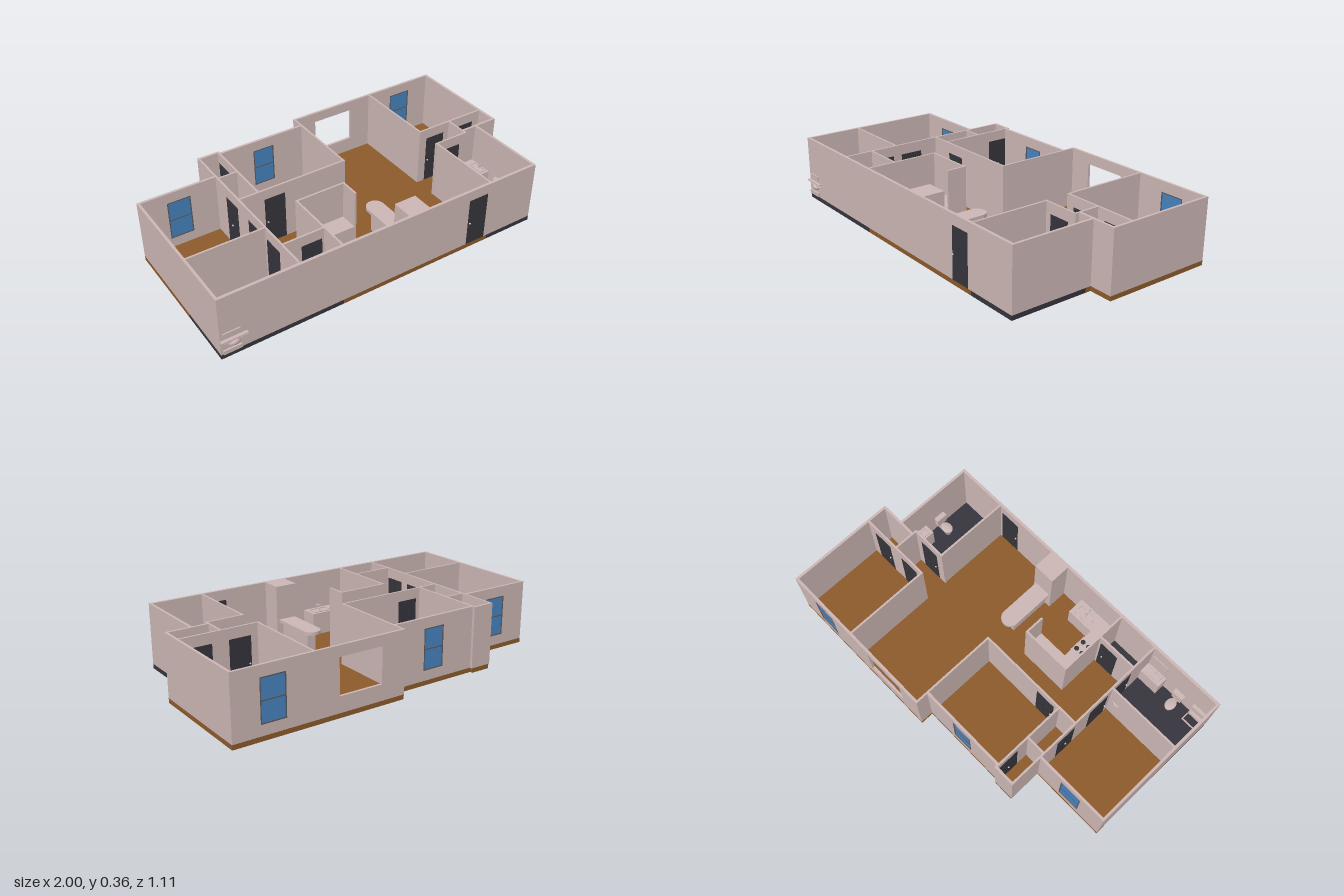
import * as THREE from 'three';

const material = (name, color, extra = {}) => {
  const m = new THREE.MeshStandardMaterial({ color, ...extra });
  m.name = name;
  return m;
};

export function createModel() {
  const plaster = material('plaster', 0xcbb6b4);
  const wood = material('wood floor', 0x8c5a2b);
  const slate = material('slate tile', 0x36343c);
  const doorPaint = material('door paint', 0x34343b);
  const glass = material('blue glass', 0x4682be);
  const frame = material('window frame', 0x5c5a60);
  const metal = material('metal', 0xc4c4c8);

  const house = new THREE.Group();
  house.name = 'house';
  const group = (name, parent = house) => {
    const g = new THREE.Group();
    g.name = name;
    parent.add(g);
    return g;
  };
  const add = (parent, name, geometry, mat, x = 0, y = 0, z = 0) => {
    const m = new THREE.Mesh(geometry, mat);
    m.name = name;
    m.position.set(x, y, z);
    parent.add(m);
    return m;
  };
  const box = (parent, name, mat, x0, x1, y0, y1, z0, z1) =>
    add(parent, name, new THREE.BoxGeometry(x1 - x0, y1 - y0, z1 - z0), mat,
      (x0 + x1) / 2, (y0 + y1) / 2, (z0 + z1) / 2);
  // Box running along x or z: from a to b, centred across at c with thickness t
  const run = (parent, name, mat, dir, a, b, y0, y1, c, t) => dir === 'x'
    ? box(parent, name, mat, a, b, y0, y1, c - t / 2, c + t / 2)
    : box(parent, name, mat, c - t / 2, c + t / 2, y0, y1, a, b);

  const FLOOR = 0.025, TOP = 0.36, HEAD = 0.303;

  // Floor slabs: x0, x1, z0, z1
  const floor = group('floor');
  [[-1, -0.567, -0.305, 0.21], [-0.567, -0.452, -0.497, 0.365], [-0.452, -0.335, -0.482, 0.365],
    [-0.335, 0.055, -0.482, 0.535], [0.055, 0.572, -0.555, 0.535], [0.572, 1, -0.555, 0.07],
    [0.572, 0.87, 0.07, 0.1]]
    .forEach(([a, b, c, d]) => box(floor, 'woodFloor', wood, a, b, 0, FLOOR, c, d));
  [[-1, -0.567, 0.21, 0.535], [-0.567, -0.335, 0.365, 0.535], [0.572, 0.87, 0.1, 0.535]]
    .forEach(([a, b, c, d]) => box(floor, 'tileFloor', slate, a, b, 0, FLOOR, c, d));

  // Panelled door; knob is its position along the wall
  function door(dir, a, b, c, t, knob) {
    const g = group('door');
    run(g, 'doorLeaf', doorPaint, dir, a, b, FLOOR, HEAD, c, t + 0.001);
    const w = b - a;
    for (const side of [-1, 1]) {
      const face = c + side * (t / 2 + 0.001);
      for (const u of [0.14, 0.56]) {
        for (const [y0, y1] of [[0.045, 0.125], [0.145, 0.225], [0.24, 0.285]]) {
          run(g, 'doorPanel', doorPaint, dir, a + u * w, a + (u + 0.3) * w, y0, y1, face, 0.002);
        }
      }
      const off = c + side * (t / 2 + 0.006);
      add(g, 'doorKnob', new THREE.SphereGeometry(0.005, 10, 8), metal,
        dir === 'x' ? knob : off, 0.16, dir === 'x' ? off : knob);
    }
  }

  // Sash window with frame, middle rail and glass
  function sashWindow(dir, a, b, c, t, y0, y1) {
    const g = group('window');
    const e = 0.006, mid = (y0 + y1) / 2;
    run(g, 'windowGlass', glass, dir, a + e, b - e, y0 + e, y1 - e, c, 0.008);
    for (const [p, q, r, s] of [[a, a + e, y0, y1], [b - e, b, y0, y1], [a, b, y0, y0 + e],
      [a, b, y1 - e, y1], [a, b, mid - 0.003, mid + 0.003]]) {
      run(g, 'windowFrame', frame, dir, p, q, r, s, c, t);
    }
  }

  // Wall with openings listed in order: [kind, from, to, knob]
  function wall(dir, c, a, b, t, openings = []) {
    const g = group('wall');
    let at = a;
    for (const [kind, p, q, knob] of openings) {
      const sill = { door: FLOOR, window: 0.08, gap: 0.11 }[kind];
      run(g, 'wallPanel', plaster, dir, at, p, FLOOR, TOP, c, t);
      run(g, 'lintel', plaster, dir, p, q, HEAD, TOP, c, t);
      if (sill > FLOOR) run(g, 'sill', plaster, dir, p, q, FLOOR, sill, c, t);
      if (kind === 'door') door(dir, p, q, c, t, knob);
      if (kind === 'window') sashWindow(dir, p, q, c, t, sill, HEAD);
      at = q;
    }
    run(g, 'wallPanel', plaster, dir, at, b, FLOOR, TOP, c, t);
  }

  // Outer walls
  const T = 0.014, t = 0.011;
  wall('x', 0.527, -1, 0.87, 0.016, [['door', 0.43, 0.55, 0.44]]);
  wall('x', -0.298, -1, -0.567, T, [['window', -0.85, -0.72]]);
  wall('x', -0.49, -0.573, -0.448, T);
  wall('x', -0.475, -0.455, 0.06, T, [['window', -0.255, -0.13]]);
  wall('x', -0.548, 0.053, 1, T, [['gap', 0.19, 0.435], ['window', 0.72, 0.855]]);
  wall('x', 0.063, 0.765, 1, T);
  wall('z', -0.993, -0.305, 0.535, T);
  wall('z', 0.993, -0.555, 0.07, T);
  wall('z', 0.863, 0.07, 0.535, T);

  // Inner walls
  wall('z', -0.567, -0.495, 0.53, t,
    [['door', -0.18, -0.06, -0.12], ['door', 0.05, 0.18, 0.17], ['door', 0.23, 0.35, 0.335]]);
  wall('z', -0.454, -0.495, -0.05, t, [['door', -0.475, -0.35, -0.415]]);
  wall('x', -0.275, -0.567, -0.454, t);
  wall('x', -0.055, -0.567, 0.065, t, [['door', -0.425, -0.305, -0.413]]);
  wall('z', 0.059, -0.555, -0.05, t);
  wall('z', 0.567, -0.55, -0.05, t);
  wall('x', -0.055, 0.567, 0.99, t, [['door', 0.61, 0.73, 0.622], ['door', 0.82, 0.94, 0.835]]);
  wall('z', 0.77, -0.055, 0.093, t);
  wall('x', 0.088, 0.562, 0.776, t, [['door', 0.607, 0.727, 0.62]]);
  wall('z', 0.57, 0.088, 0.53, t);
  wall('x', 0.21, -0.99, -0.567, t);
  wall('x', 0.365, -0.567, -0.333, t, [['door', -0.465, -0.35, -0.378]]);
  wall('z', -0.333, 0.108, 0.53, t);
  wall('x', 0.113, -0.338, -0.049, t);
  wall('z', -0.054, 0.108, 0.222, t);

  // Sink: raised rim, recessed look, and a spout
  function basin(parent, x0, x1, z0, z1, y) {
    const e = 0.004;
    for (const [a, b, c, d] of [[x0, x1, z0, z0 + e], [x0, x1, z1 - e, z1],
      [x0, x0 + e, z0, z1], [x1 - e, x1, z0, z1]]) {
      box(parent, 'basinRim', plaster, a, b, y, y + 0.004, c, d);
    }
  }

  // Kitchen counters, stove and double sink
  const kitchen = group('kitchen');
  const C = 0.15;
  box(kitchen, 'backCounter', plaster, -0.33, -0.058, FLOOR, C, 0.117, 0.222);
  box(kitchen, 'sideCounter', plaster, -0.33, -0.235, FLOOR, C, 0.222, 0.42);
  box(kitchen, 'frontCounter', plaster, -0.33, -0.073, FLOOR, C, 0.42, 0.52);
  box(kitchen, 'stoveTop', plaster, -0.312, -0.232, C - 0.12, C + 0.004, 0.27, 0.37);
  for (const x of [-0.292, -0.252]) for (const z of [0.295, 0.345]) {
    add(kitchen, 'burner', new THREE.CylinderGeometry(0.013, 0.013, 0.004, 16), doorPaint, x, C + 0.006, z);
  }
  basin(kitchen, -0.205, -0.152, 0.435, 0.495, C);
  basin(kitchen, -0.148, -0.095, 0.435, 0.495, C);
  box(kitchen, 'faucet', metal, -0.153, -0.147, C, C + 0.03, 0.498, 0.504);
  box(kitchen, 'spout', metal, -0.153, -0.147, C + 0.025, C + 0.03, 0.468, 0.504);

  // Breakfast bar with round end, joined to a tall column
  const bar = group('breakfastBar');
  box(bar, 'column', plaster, 0.055, 0.18, FLOOR, TOP, 0.403, 0.52);
  const top = new THREE.Shape();
  top.moveTo(0.066, 0.404);
  top.lineTo(0.066, 0.16);
  top.absarc(0.116, 0.16, 0.05, Math.PI, Math.PI * 2, false);
  top.lineTo(0.166, 0.404);
  const slab = new THREE.ExtrudeGeometry(top, { depth: 0.018, bevelEnabled: false, curveSegments: 12 });
  slab.rotateX(Math.PI / 2);
  add(bar, 'barTop', slab, plaster, 0, 0.17, 0);
  box(bar, 'barSupport', plaster, 0.09, 0.142, FLOOR, 0.153, 0.16, 0.404);

  // Toilet facing +z of its own group, tank at the origin
  function toilet(x, z, turn) {
    const g = group('toilet');
    g.position.set(x, FLOOR, z);
    g.rotation.y = turn;
    box(g, 'tank', plaster, -0.03, 0.03, 0.05, 0.11, -0.01, 0.016);
    box(g, 'tankLid', plaster, -0.033, 0.033, 0.11, 0.115, -0.01, 0.019);
    const profile = [[0, 0], [0.018, 0], [0.014, 0.02], [0.028, 0.045], [0.028, 0.056], [0, 0.056]]
      .map(([r, y]) => new THREE.Vector2(r, y));
    add(g, 'bowl', new THREE.LatheGeometry(profile, 18), plaster, 0, 0, 0.054).scale.z = 1.3;
    box(g, 'bowlNeck', plaster, -0.014, 0.014, 0, 0.05, -0.01, 0.045);
  }
  toilet(-0.803, 0.508, Math.PI);
  toilet(0.845, 0.31, -Math.PI / 2);

  // Bathroom vanities and mirror
  const bath = group('vanities');
  box(bath, 'leftVanity', plaster, -0.7, -0.573, FLOOR, 0.14, 0.455, 0.52);
  basin(bath, -0.68, -0.593, 0.465, 0.508, 0.14);
  box(bath, 'leftTap', metal, -0.638, -0.634, 0.14, 0.16, 0.49, 0.515);
  box(bath, 'mirror', plaster, -0.685, -0.585, 0.18, 0.27, 0.514, 0.52);
  box(bath, 'rightVanity', plaster, 0.795, 0.857, FLOOR, 0.14, 0.07, 0.215);
  basin(bath, 0.805, 0.848, 0.11, 0.2, 0.14);
  box(bath, 'rightTap', metal, 0.83, 0.855, 0.14, 0.16, 0.153, 0.157);

  // Half-round wall shelf in the side bedroom
  add(house, 'wallShelf', new THREE.CylinderGeometry(0.024, 0.024, 0.02, 16, 1, false, Math.PI / 2, Math.PI),
    plaster, -0.62, 0.2, 0.206).scale.z = 0.5;

  // Rack and tap set in the washroom corner, poking through the front wall
  const rack = group('washRack');
  box(rack, 'lowerShelf', plaster, -0.99, -0.895, 0.03, 0.052, 0.5, 0.545);
  box(rack, 'upperShelf', plaster, -0.985, -0.895, 0.125, 0.152, 0.5, 0.542);
  box(rack, 'rail', plaster, -1, -0.862, 0.106, 0.113, 0.53, 0.553);
  box(rack, 'lowerRail', plaster, -0.985, -0.862, 0.09, 0.095, 0.53, 0.545);
  box(rack, 'innerRail', plaster, -0.985, -0.9, 0.12, 0.13, 0.42, 0.426);
  for (const x of [-0.985, -0.905]) box(rack, 'sideBar', plaster, x, x + 0.005, 0.12, 0.13, 0.42, 0.52);
  const dial = add(rack, 'dial', new THREE.SphereGeometry(0.028, 16, 10), plaster, -0.93, 0.08, 0.538);
  dial.scale.set(1.1, 0.6, 0.6);

  return house;
}
